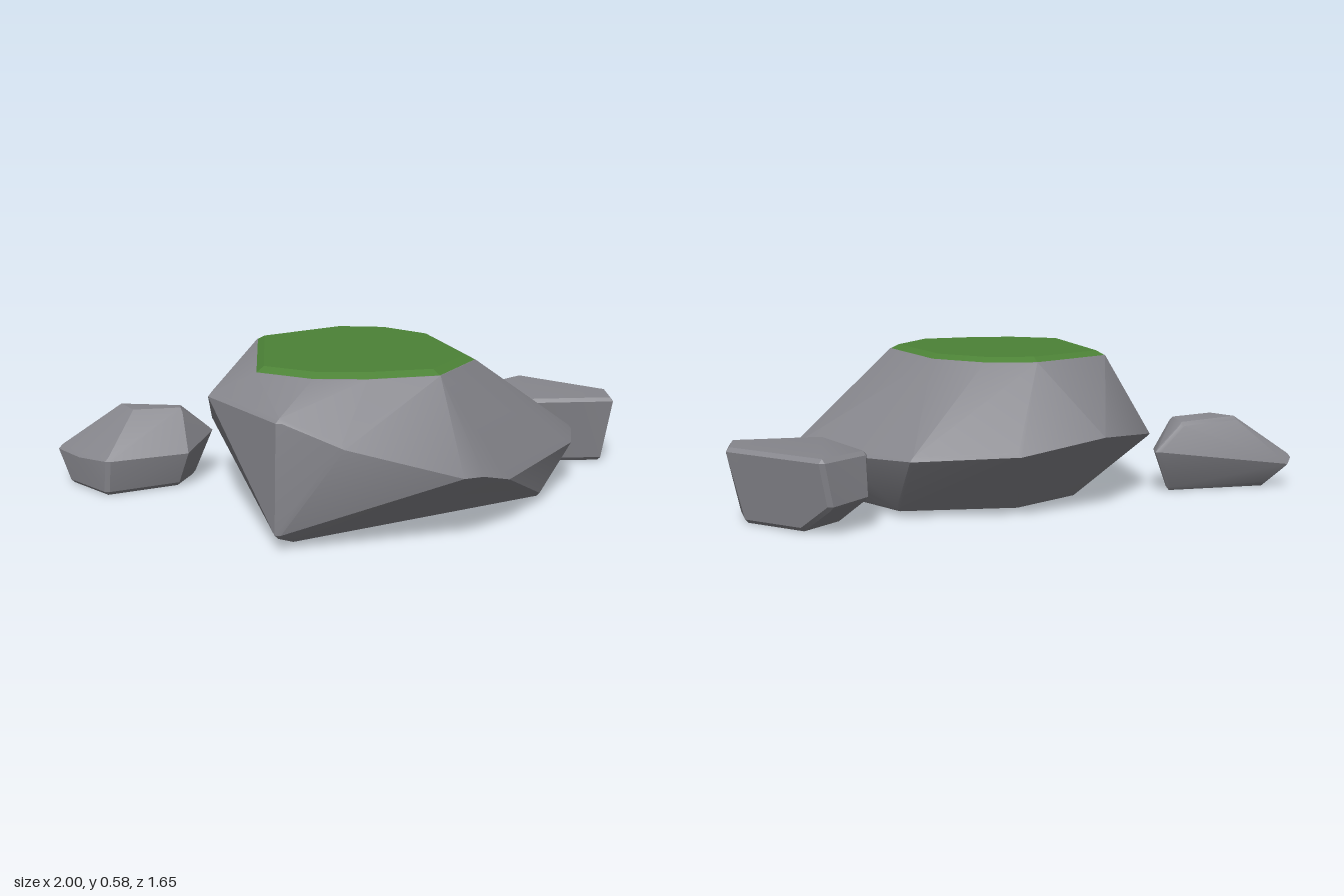
import * as THREE from 'three';
import { toCreasedNormals } from 'three/addons/utils/BufferGeometryUtils.js';
import { ConvexGeometry } from 'three/addons/geometries/ConvexGeometry.js';

const stone = new THREE.MeshStandardMaterial({ color: 0x86868c });
stone.name = 'stone grey';
const moss = new THREE.MeshStandardMaterial({ color: 0x4c8236 });
moss.name = 'moss green';

const toVectors = (list) => list.map((p) => new THREE.Vector3(...p));

// Pulls each corner inwards and replaces it by a tiny octahedron, so the hull gets narrow bevels
function bevelCorners(list, r) {
  const points = toVectors(list);
  const box = new THREE.Box3().setFromPoints(points);
  const inner = box.clone().expandByScalar(-r);
  const out = [];
  for (const p of points) {
    const c = p.clone().clamp(inner.min, inner.max);
    for (const axis of ['x', 'y', 'z']) {
      for (const s of [-r, r]) {
        const q = c.clone();
        q[axis] += s;
        out.push(q);
      }
    }
  }
  return out;
}

function hull(name, points, material, crease = 0.45) {
  const mesh = new THREE.Mesh(toCreasedNormals(new ConvexGeometry(points), crease), material);
  mesh.name = name;
  return mesh;
}

export function createModel() {
  const group = new THREE.Group();
  group.name = 'mossyRocks';

  // Outline of the plateau as [x, z]
  const plateau = [
    [-0.34, -0.33], [0.05, -0.31], [0.19, -0.17], [0.23, 0.07], [0.05, 0.51],
    [-0.23, 0.63], [-0.46, 0.52], [-0.6, 0.4], [-0.69, 0.19],
  ];
  const ring = (y, k) => plateau.map(([x, z]) => [-0.22 + (x + 0.22) * k, y, 0.13 + (z - 0.13) * k]);

  // Large boulder: widest edge, then underside
  const body = [
    [-0.8, 0.48, 0.05], [-0.78, 0.45, 0.46], [-0.64, 0.37, 0.61], [-0.29, 0.25, 0.82],
    [-0.2, 0.24, 0.82], [-0.04, 0.19, 0.77], [0.54, 0.17, 0.54], [0.62, 0.2, 0.48],
    [0.6, 0.22, 0.17], [0.58, 0.24, -0.19], [0.3, 0.25, -0.44], [-0.05, 0.29, -0.56],
    [-0.48, 0.24, -0.44],
    [-0.78, 0.06, 0.44], [-0.72, 0.02, 0.44], [0.28, 0.02, 0.62], [0.48, 0.02, 0.46],
    [0.5, 0.02, -0.03], [0.16, 0.02, -0.31], [-0.15, 0.02, -0.33],
  ];
  group.add(hull('boulder', [...bevelCorners(body, 0.015), ...toVectors(ring(0.56, 1))], stone));

  // Moss cap with a bevelled rim
  group.add(hull('mossCap', toVectors([...ring(0.558, 1.002), ...ring(0.577, 0.92)]), moss, 0.3));

  // Small rock beside the boulder
  const sideRock = [
    [0.7, 0.28, -0.06], [0.9, 0.28, -0.08], [1.0, 0.27, 0.34], [0.89, 0.27, 0.47], [0.62, 0.28, 0.27],
    [0.59, 0.24, 0.17], [0.57, 0.13, 0.17], [0.71, 0.12, -0.08], [0.87, 0.11, -0.1],
    [0.7, 0.01, 0.08], [0.89, 0.02, 0.04], [0.94, 0, 0.3], [0.88, 0, 0.41], [0.7, 0, 0.28],
  ];
  group.add(hull('sideRock', bevelCorners(sideRock, 0.015), stone));

  // Small rock behind the boulder
  const backRock = [
    [-0.78, 0.3, -0.66], [-0.58, 0.27, -0.54], [-0.62, 0.28, -0.47], [-0.79, 0.3, -0.54],
    [-0.98, 0.12, -0.8], [-0.93, 0.1, -0.83], [-1, 0.13, -0.6], [-0.95, 0.14, -0.45],
    [-0.46, 0.17, -0.5], [-0.66, 0.14, -0.35],
    [-0.98, 0, -0.7], [-0.95, 0, -0.47], [-0.68, 0, -0.41], [-0.56, 0, -0.5], [-0.9, 0, -0.73],
  ];
  group.add(hull('backRock', bevelCorners(backRock, 0.015), stone));

  return group;
}
